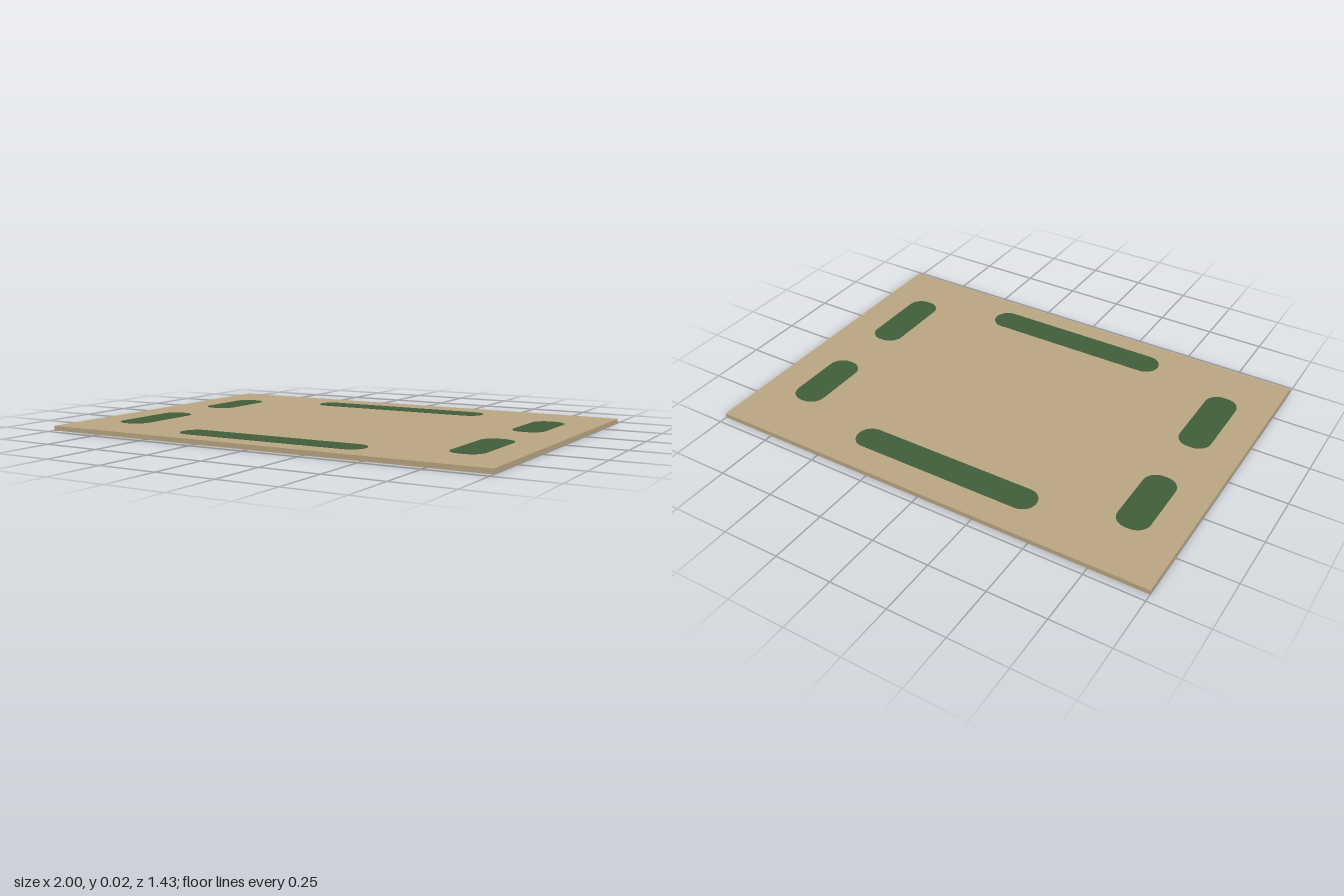
import * as THREE from 'three';

const WIDTH = 2, DEPTH = 1.428, THICK = 0.02;

// Rounded rectangle lying flat, given by its x and z limits
function patchGeometry(x0, x1, z0, z1, r) {
  const a = -z1, b = -z0; // shape y becomes -z once laid flat
  const s = new THREE.Shape();
  s.moveTo(x0 + r, a);
  s.lineTo(x1 - r, a);
  s.absarc(x1 - r, a + r, r, -Math.PI / 2, 0);
  s.lineTo(x1, b - r);
  s.absarc(x1 - r, b - r, r, 0, Math.PI / 2);
  s.lineTo(x0 + r, b);
  s.absarc(x0 + r, b - r, r, Math.PI / 2, Math.PI);
  s.lineTo(x0, a + r);
  s.absarc(x0 + r, a + r, r, Math.PI, Math.PI * 1.5);
  const g = new THREE.ExtrudeGeometry(s, { depth: 0.0015, bevelEnabled: false, curveSegments: 6 });
  return g.rotateX(-Math.PI / 2).translate(0, THICK, 0);
}

export function createModel() {
  const model = new THREE.Group();
  model.name = 'groundPlate';
  const sand = new THREE.MeshStandardMaterial({ color: 0xb8a480 });
  sand.name = 'sand';
  const green = new THREE.MeshStandardMaterial({ color: 0x3f5d3a });
  green.name = 'hedge green';

  const add = (name, geometry, material) => {
    const mesh = new THREE.Mesh(geometry, material);
    mesh.name = name;
    model.add(mesh);
  };

  // Thin base slab
  add('baseSlab', new THREE.BoxGeometry(WIDTH, THICK, DEPTH).translate(0, THICK / 2, 0), sand);

  // Long planting strips along the front and back
  add('backStrip', patchGeometry(-0.428, 0.428, -0.59, -0.466, 0.061), green);
  add('frontStrip', patchGeometry(-0.428, 0.428, 0.498, 0.624, 0.062), green);

  // Short strips on each side, mirrored in x
  for (const [side, x0, x1] of [['left', 0.716, 0.856], ['right', -0.856, -0.716]]) {
    add(side + 'BackStrip', patchGeometry(x0, x1, -0.468, -0.123, 0.062), green);
    add(side + 'FrontStrip', patchGeometry(x0, x1, 0.105, 0.497, 0.062), green);
  }
  return model;
}
